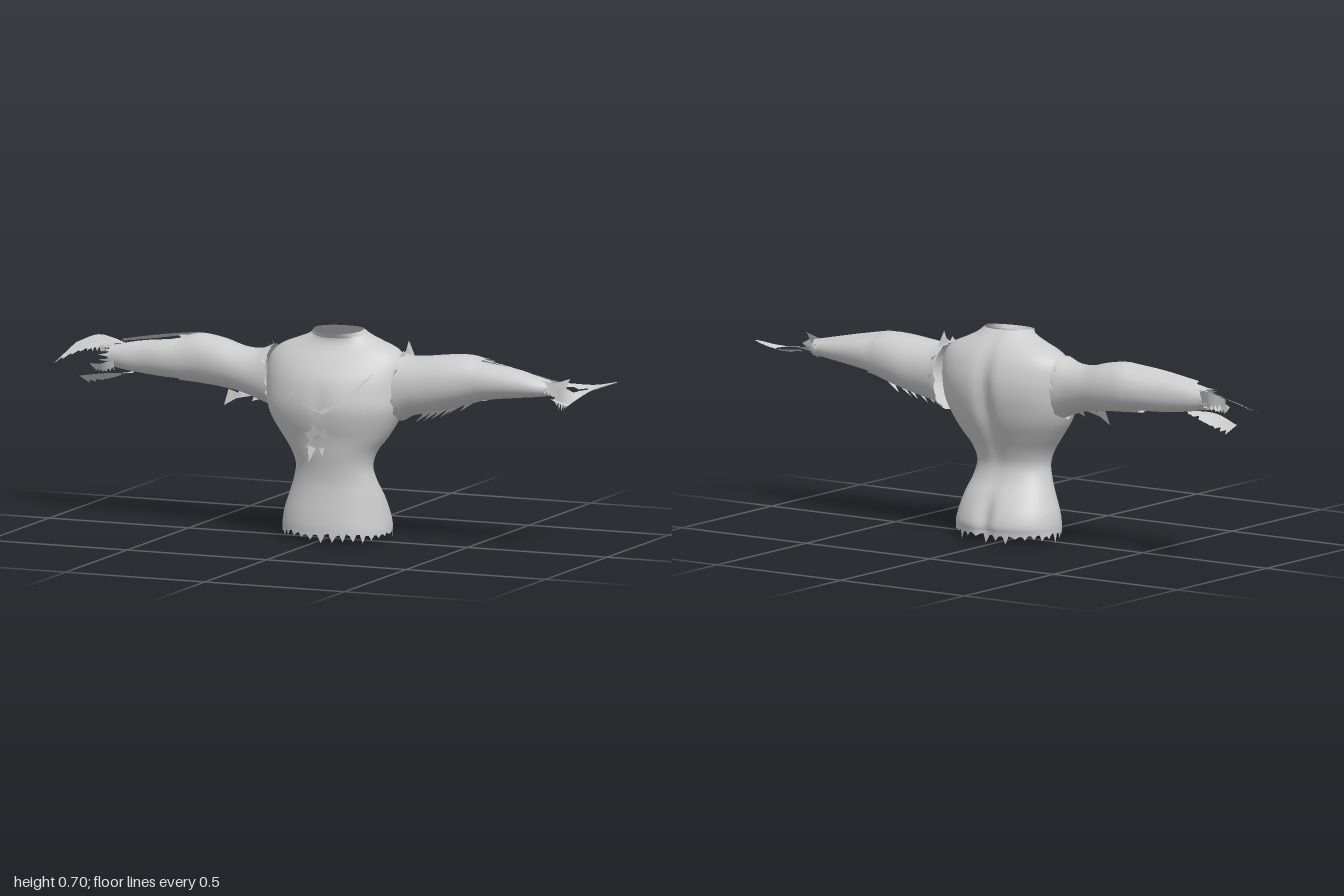
import * as THREE from 'three';

const cloth = new THREE.MeshStandardMaterial({ color: 0xcccccc, side: THREE.DoubleSide });
cloth.name = 'grey cloth';

// Small seeded random source for the torn edges
let seed = 7;
const rand = () => ((seed = (seed * 16807) % 2147483647) / 2147483647);

function gridMesh(name, rows, cols, closed, pointAt) {
  const pos = [], idx = [];
  const w = closed ? cols : cols + 1;
  for (let r = 0; r <= rows; r++) for (let c = 0; c < w; c++) pos.push(...pointAt(r, c));
  for (let r = 0; r < rows; r++) for (let c = 0; c < cols; c++) {
    const a = r * w + c, b = r * w + ((c + 1) % w);
    idx.push(a, a + w, b, b, a + w, b + w);
  }
  const g = new THREE.BufferGeometry();
  g.setAttribute('position', new THREE.Float32BufferAttribute(pos, 3));
  g.setIndex(idx);
  g.computeVertexNormals();
  const m = new THREE.Mesh(g, cloth);
  m.name = name;
  return m;
}

// Tube through rows of [position along axis, uMin, uMax, vMin, vMax], torn at chosen ends
function loft(name, sections, { cols, rows, power, tear, place }) {
  const curves = [0, 1, 2, 3, 4].map(k =>
    new THREE.SplineCurve(sections.map((s, i) => new THREE.Vector2(i, s[k]))));
  const sign = Math.sign(sections[sections.length - 1][0] - sections[0][0]);
  const teeth = tear.map(depth => Array.from({ length: cols }, (_, c) =>
    depth * (c % 3 === 0 ? 0.25 + 0.75 * rand() : 0.3 * rand())));
  return gridMesh(name, rows, cols, true, (r, c) => {
    const [p, u0, u1, v0, v1] = curves.map(q => q.getPoint(r / rows).y);
    const a = (c / cols) * Math.PI * 2;
    const f = t => Math.sign(t) * Math.abs(t) ** (2 / power(p, Math.sin(a) > 0));
    const shift = r === 0 ? -teeth[0][c] : r === rows ? teeth[1][c] : 0;
    return place(p + sign * shift, (u0 + u1) / 2 + f(Math.cos(a)) * (u1 - u0) / 2,
      (v0 + v1) / 2 + f(Math.sin(a)) * (v1 - v0) / 2);
  });
}

// Curved scrap spanning two edges, with a ragged second edge
function scrap(name, edgeA, edgeB, ragged = 0.015, cols = 16) {
  const [A, B] = [edgeA, edgeB].map(e => new THREE.CatmullRomCurve3(e.map(p => new THREE.Vector3(...p))));
  const nick = Array.from({ length: cols + 1 }, (_, i) => (i % 2 ? ragged * rand() : 0));
  return gridMesh(name, 4, cols, false, (r, c) => {
    const a = A.getPoint(c / cols), b = B.getPoint(c / cols);
    const d = a.distanceTo(b);
    return a.lerp(b, (r / 4) * (1 - Math.min(0.6, nick[c] / Math.max(d, 0.01)))).toArray();
  });
}

// Loose pointed shreds: each is three corners
function shreds(name, list) {
  const g = new THREE.BufferGeometry();
  g.setAttribute('position', new THREE.Float32BufferAttribute(list.flat(2), 3));
  g.computeVertexNormals();
  const m = new THREE.Mesh(g, cloth);
  m.name = name;
  return m;
}

const bump = (v, mid, w) => Math.exp(-(((v - mid) / w) ** 2));

export function createModel() {
  const model = new THREE.Group();
  model.name = 'tornShirt';

  // Torso with open neck, spine furrow, pointed chest and torn hem
  model.add(loft('torso', [
    [0.036, -0.16, 0.212, -0.155, 0.119], [0.06, -0.16, 0.21, -0.16, 0.119], [0.1, -0.152, 0.202, -0.148, 0.115],
    [0.15, -0.132, 0.19, -0.12, 0.109], [0.2, -0.112, 0.173, -0.086, 0.105], [0.25, -0.1, 0.163, -0.073, 0.11],
    [0.3, -0.118, 0.178, -0.087, 0.12], [0.35, -0.155, 0.215, -0.112, 0.13], [0.4, -0.19, 0.245, -0.137, 0.147],
    [0.45, -0.21, 0.268, -0.154, 0.158], [0.5, -0.217, 0.274, -0.164, 0.155], [0.55, -0.217, 0.274, -0.163, 0.14],
    [0.6, -0.208, 0.265, -0.148, 0.108], [0.635, -0.175, 0.238, -0.128, 0.08], [0.66, -0.115, 0.185, -0.108, 0.066],
    [0.68, -0.066, 0.146, -0.088, 0.064], [0.7, -0.045, 0.125, -0.068, 0.074],
  ], {
    cols: 96, rows: 64, tear: [0.036, 0],
    power: (y, front) => (front ? 2.1 - 0.3 * bump(y, 0.52, 0.12) : 2.15),
    place: (y, x, z) => {
      const line = bump(x, 0.035, 0.028);
      if (z < 0) z += line * (0.026 * bump(y, 0.47, 0.15) + 0.02 * bump(y, 0.08, 0.07));
      else z -= line * 0.006 * bump(y, 0.47, 0.06);
      if (y > 0.685) y -= Math.max(0, z) * 0.12;
      return [x, y, z];
    },
  }));

  // Sleeves run along x; u is height and v is depth
  const sleeve = (name, sections, tear) => model.add(loft(name, sections,
    { cols: 40, rows: 24, tear, power: () => 2.1, place: (x, y, z) => [x, y, z] }));
  sleeve('rightUpperSleeve', [
    [-0.205, 0.425, 0.63, -0.108, 0.058], [-0.25, 0.442, 0.612, -0.11, 0.055], [-0.32, 0.462, 0.612, -0.122, 0.047],
    [-0.4, 0.472, 0.632, -0.136, 0.036], [-0.48, 0.478, 0.642, -0.14, 0.024], [-0.54, 0.482, 0.63, -0.135, 0.02],
  ], [0.012, 0.03]);
  sleeve('rightForearmSleeve', [
    [-0.51, 0.488, 0.622, -0.125, 0.015], [-0.6, 0.49, 0.614, -0.112, 0.01], [-0.68, 0.497, 0.606, -0.1, 0],
    [-0.74, 0.505, 0.596, -0.09, 0], [-0.79, 0.515, 0.585, -0.078, -0.005],
  ], [0, 0.04]);
  sleeve('leftUpperSleeve', [
    [0.264, 0.405, 0.628, -0.12, 0.08], [0.3, 0.425, 0.622, -0.115, 0.08], [0.36, 0.438, 0.627, -0.112, 0.08],
    [0.43, 0.455, 0.635, -0.114, 0.078], [0.5, 0.475, 0.638, -0.108, 0.068], [0.55, 0.49, 0.628, -0.1, 0.06],
  ], [0.012, 0.025]);
  sleeve('leftForearmSleeve', [
    [0.52, 0.487, 0.62, -0.09, 0.058], [0.6, 0.5, 0.612, -0.078, 0.058], [0.68, 0.51, 0.6, -0.064, 0.056],
    [0.75, 0.518, 0.585, -0.05, 0.05], [0.8, 0.525, 0.572, -0.035, 0.03],
  ], [0, 0.035]);

  // Raised torn strips along the tops of the forearms
  model.add(scrap('rightUpperStrip',
    [[-0.5, 0.644, -0.06], [-0.62, 0.63, -0.05], [-0.76, 0.607, -0.045]],
    [[-0.5, 0.632, -0.12], [-0.62, 0.612, -0.115], [-0.78, 0.588, -0.11]], 0.03));
  model.add(scrap('leftUpperStrip',
    [[0.52, 0.636, 0.01], [0.66, 0.61, 0.01], [0.83, 0.575, 0.005]],
    [[0.53, 0.618, -0.07], [0.66, 0.594, -0.06], [0.81, 0.562, -0.04]], 0.03));

  // Tattered glove remains at the right hand
  model.add(scrap('rightHandTop',
    [[-0.77, 0.585, -0.1], [-0.84, 0.595, -0.135], [-0.9, 0.595, -0.158], [-0.96, 0.57, -0.13]],
    [[-0.78, 0.588, -0.06], [-0.85, 0.57, -0.065], [-0.92, 0.55, -0.05], [-0.99, 0.515, -0.015]], 0.03));
  model.add(scrap('rightHandBack',
    [[-0.82, 0.59, -0.125], [-0.88, 0.597, -0.155], [-0.94, 0.58, -0.148]],
    [[-0.83, 0.545, -0.12], [-0.88, 0.54, -0.15], [-0.94, 0.54, -0.14]], 0.025));
  model.add(scrap('rightPalmStrip',
    [[-0.71, 0.5, -0.02], [-0.79, 0.497, 0.0], [-0.91, 0.475, -0.04]],
    [[-0.71, 0.505, -0.07], [-0.79, 0.475, -0.06], [-0.89, 0.446, -0.08]], 0.02));
  model.add(scrap('rightWristScrap',
    [[-0.77, 0.54, 0.0], [-0.81, 0.53, 0.02], [-0.86, 0.525, -0.01]],
    [[-0.77, 0.505, -0.01], [-0.82, 0.5, 0.0], [-0.86, 0.505, -0.04]], 0.02));

  // Curled glove remains at the left hand
  model.add(scrap('leftHandCurl',
    [[0.82, 0.555, -0.09], [0.91, 0.552, -0.11], [1.0, 0.57, -0.095], [0.94, 0.55, -0.04], [0.922, 0.535, 0.03], [0.9, 0.51, 0.1]],
    [[0.825, 0.545, -0.068], [0.89, 0.538, -0.075], [0.935, 0.545, -0.065], [0.895, 0.545, -0.02], [0.87, 0.54, 0.03], [0.83, 0.525, 0.075]], 0.015));
  model.add(scrap('leftHandEdge',
    [[0.84, 0.565, 0.06], [0.88, 0.565, 0.07], [0.92, 0.545, 0.06]],
    [[0.835, 0.53, 0.07], [0.875, 0.492, 0.09], [0.905, 0.515, 0.085]], 0.025));
  model.add(scrap('leftWrist',
    [[0.78, 0.575, 0.02], [0.83, 0.575, 0.03], [0.88, 0.59, 0.03]],
    [[0.78, 0.535, 0.035], [0.83, 0.53, 0.04], [0.87, 0.55, 0.045]], 0.02));

  // Shreds hanging under the upper sleeves, slanting in toward the body
  const hanging = [];
  for (let i = 0; i < 6; i++) {
    const x = 0.36 + i * 0.026, y = 0.447 + i * 0.007, z = 0.03 - i * 0.012;
    hanging.push([[x, y, z], [x + 0.045, y + 0.014, z - 0.008], [x - 0.055 + rand() * 0.02, y - 0.05 + rand() * 0.012, z - 0.015]]);
  }
  for (const [x, drop] of [[-0.24, 0.025], [-0.3, 0.02], [-0.34, 0.045]]) {
    hanging.push([[x + 0.03, 0.455, -0.01], [x - 0.03, 0.468, -0.03], [x - 0.04, 0.46 - drop, -0.015]]);
  }
  model.add(shreds('hangingShreds', hanging));

  // A few frayed tags standing up around the shoulder seams
  const seam = [];
  for (const [x, y, z, ry, rz, out] of [[-0.205, 0.53, -0.025, 0.1, 0.084, -1], [0.266, 0.52, -0.02, 0.107, 0.1, 1]]) {
    const p = (a, k, dx) => [x + dx * out, y + ry * k * Math.sin(a), z + rz * k * Math.cos(a)];
    for (const a of [0.4, 1.1, 1.5, 2.3, 2.9, 4.6]) {
      seam.push([p(a, 0.98, -0.005), p(a + 0.3, 0.98, 0.012), p(a + 0.1 + 0.15 * rand(), 1.06 + rand() * 0.12, 0.008)]);
    }
  }
  seam.push([[0.262, 0.62, -0.03], [0.285, 0.615, -0.06], [0.27, 0.668, -0.045]]);
  model.add(shreds('shoulderFray', seam));

  // Lifted slash across the chest
  model.add(scrap('chestSlashLong',
    [[0.05, 0.438, 0.163], [0.12, 0.476, 0.15], [0.205, 0.575, 0.085]],
    [[0.045, 0.45, 0.162], [0.12, 0.497, 0.147], [0.195, 0.563, 0.095]], 0.008));
  model.add(scrap('chestSlashShort',
    [[0.05, 0.438, 0.163], [-0.01, 0.462, 0.161], [-0.075, 0.505, 0.142]],
    [[0.045, 0.45, 0.162], [-0.01, 0.474, 0.16], [-0.072, 0.498, 0.144]], 0.008));

  // Ragged patch with a small hole on the belly
  const star = new THREE.Shape();
  [0.068, 0.045, 0.055, 0.036, 0.06, 0.042, 0.058, 0.034, 0.062, 0.032, 0.045, 0.03, 0.066, 0.036].forEach((r, i) => {
    const a = i / 14 * Math.PI * 2;
    star[i ? 'lineTo' : 'moveTo'](Math.cos(a) * r * 0.9, Math.sin(a) * r);
  });
  star.holes.push(new THREE.Path().absellipse(0, 0, 0.017, 0.021, 0, Math.PI * 2, true));
  const patch = new THREE.Mesh(new THREE.ShapeGeometry(star, 6), cloth);
  patch.name = 'bellyPatch';
  patch.position.set(0.025, 0.345, 0.14);
  patch.rotation.x = 0.2;
  model.add(patch);
  model.add(shreds('patchShreds', [
    [[-0.01, 0.33, 0.143], [0.02, 0.32, 0.145], [0.0, 0.275, 0.157]],
    [[0.03, 0.32, 0.143], [0.05, 0.325, 0.142], [0.045, 0.295, 0.148]],
  ]));

  return model;
}
